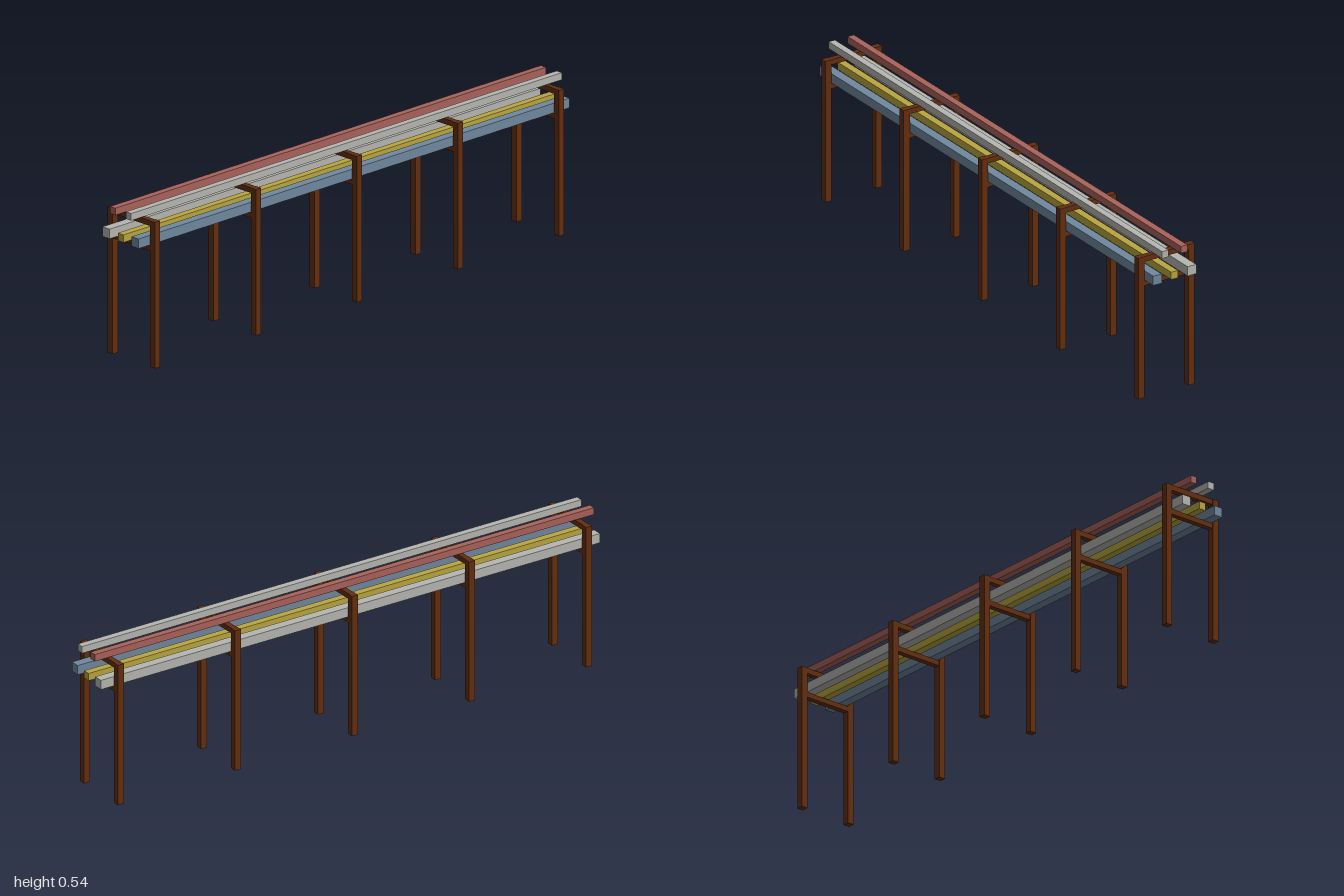
import * as THREE from 'three';

const mat = (name, color) => {
  const m = new THREE.MeshStandardMaterial({ color });
  m.name = name;
  return m;
};

export function createModel() {
  const model = new THREE.Group();
  model.name = 'pipeRack';

  const steel = mat('brown steel', 0x642f10);
  const grey = mat('pale grey', 0xb6b6b1);
  const blue = mat('slate blue', 0x70889f);
  const red = mat('dull red', 0xa9625a);
  const yellow = mat('mustard yellow', 0xb9a640);

  const box = (parent, name, material, size, pos) => {
    const mesh = new THREE.Mesh(new THREE.BoxGeometry(...size), material);
    mesh.name = name;
    mesh.position.set(...pos);
    parent.add(mesh);
  };

  // Five portal frames: two posts joined by an upper and a lower crossbeam
  for (let i = -2; i <= 2; i++) {
    const frame = new THREE.Group();
    frame.name = 'frame' + (i + 3);
    frame.position.x = i * 0.469;
    for (const side of [1, -1]) {
      box(frame, side > 0 ? 'frontPost' : 'backPost', steel, [0.024, 0.513, 0.024], [0, 0.2565, side * 0.1]);
    }
    box(frame, 'upperBeam', steel, [0.02, 0.019, 0.178], [0, 0.5035, 0]);
    box(frame, 'lowerBeam', steel, [0.02, 0.018, 0.178], [0, 0.416, 0]);
    model.add(frame);
  }

  // Square ducts running the full length: name, material, size, y, z
  const ducts = [
    ['upperGreyDuct', grey, 0.025, 0.529, 0.038],
    ['upperRedDuct', red, 0.025, 0.529, -0.037],
    ['lowerBlueDuct', blue, 0.034, 0.444, 0.069],
    ['lowerYellowDuct', yellow, 0.027, 0.444, 0.001],
    ['lowerGreyDuct', grey, 0.034, 0.444, -0.068],
  ];
  for (const [name, material, s, y, z] of ducts) {
    box(model, name, material, [2, s, s], [0, y, z]);
  }

  return model;
}
